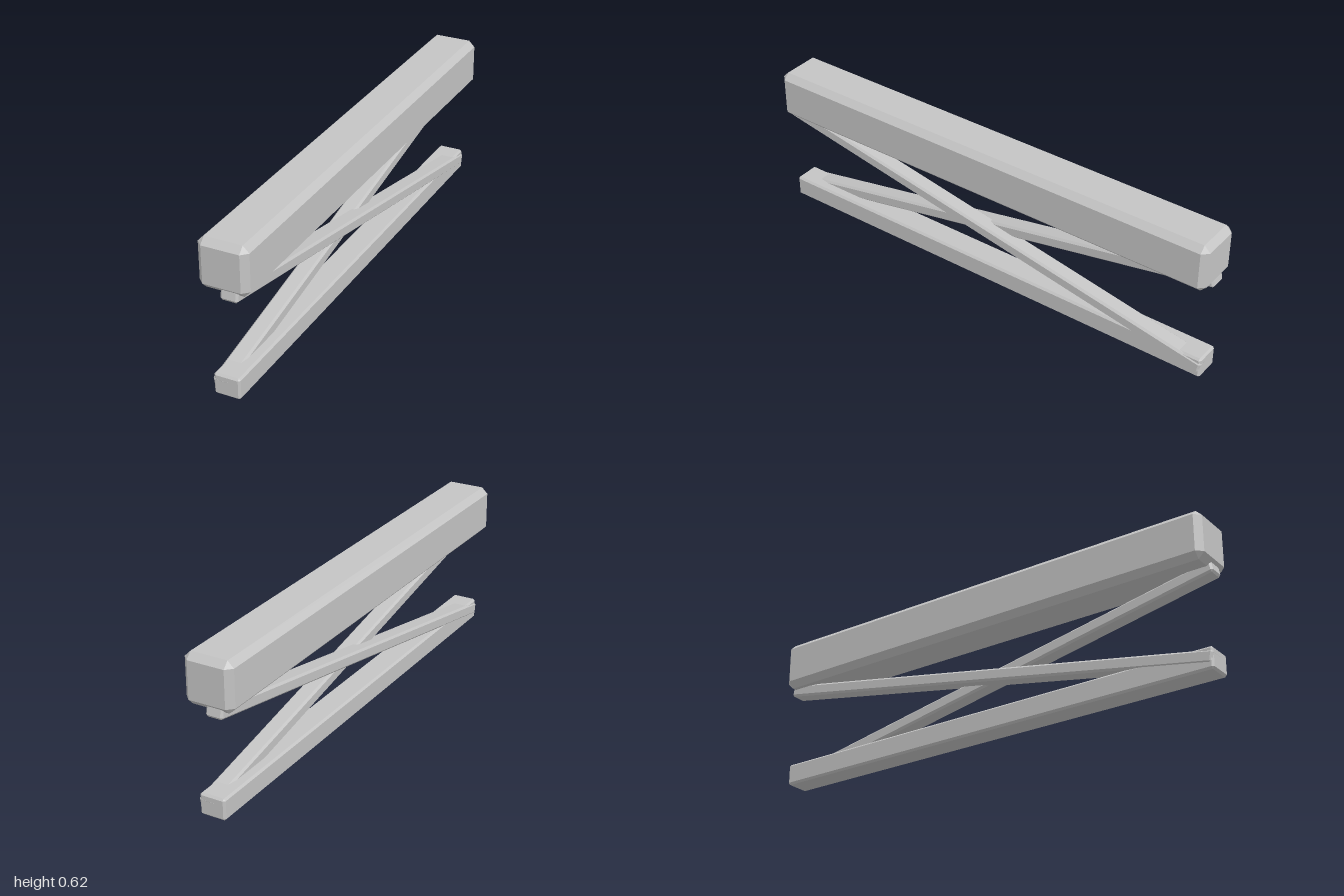
import * as THREE from 'three';
import { ConvexGeometry } from 'three/addons/geometries/ConvexGeometry.js';

// Box with flat chamfers on every edge: the hull of its six inset faces
function chamferedBox(w, h, d, c) {
  const half = [w / 2, h / 2, d / 2];
  const points = [];
  for (let axis = 0; axis < 3; axis++) {
    for (const sx of [-1, 1]) for (const sy of [-1, 1]) for (const sz of [-1, 1]) {
      const p = [sx, sy, sz].map((s, i) => s * (i === axis ? half[i] : half[i] - c));
      points.push(new THREE.Vector3(...p));
    }
  }
  return new ConvexGeometry(points);
}

export function createModel() {
  const model = new THREE.Group();
  model.name = 'trussBeam';
  const grey = new THREE.MeshStandardMaterial({ color: 0xc4c4c4, flatShading: true });
  grey.name = 'lightGrey';

  const add = (name, geometry, x, y, tilt = 0) => {
    const mesh = new THREE.Mesh(geometry, grey);
    mesh.name = name;
    mesh.position.set(x, y, 0);
    mesh.rotation.x = tilt;
    model.add(mesh);
  };

  // Heavy upper beam and slim lower rail
  add('upperBeam', chamferedBox(0.2, 0.2, 2, 0.025), 0, 0.525);
  add('lowerRail', chamferedBox(0.106, 0.088, 1.99, 0.008), 0, 0.046);

  // Two crossing diagonal braces, side by side
  const brace = chamferedBox(0.07, 0.05, 2.02, 0.008);
  const tilt = 0.189;
  add('leftBrace', brace, 0.022, 0.236, -tilt);
  add('rightBrace', brace, -0.022, 0.236, tilt);

  // Rest the rail on the ground
  model.children.forEach((m) => { if (m.name === 'lowerRail') m.position.y = 0.045; });
  return model;
}
